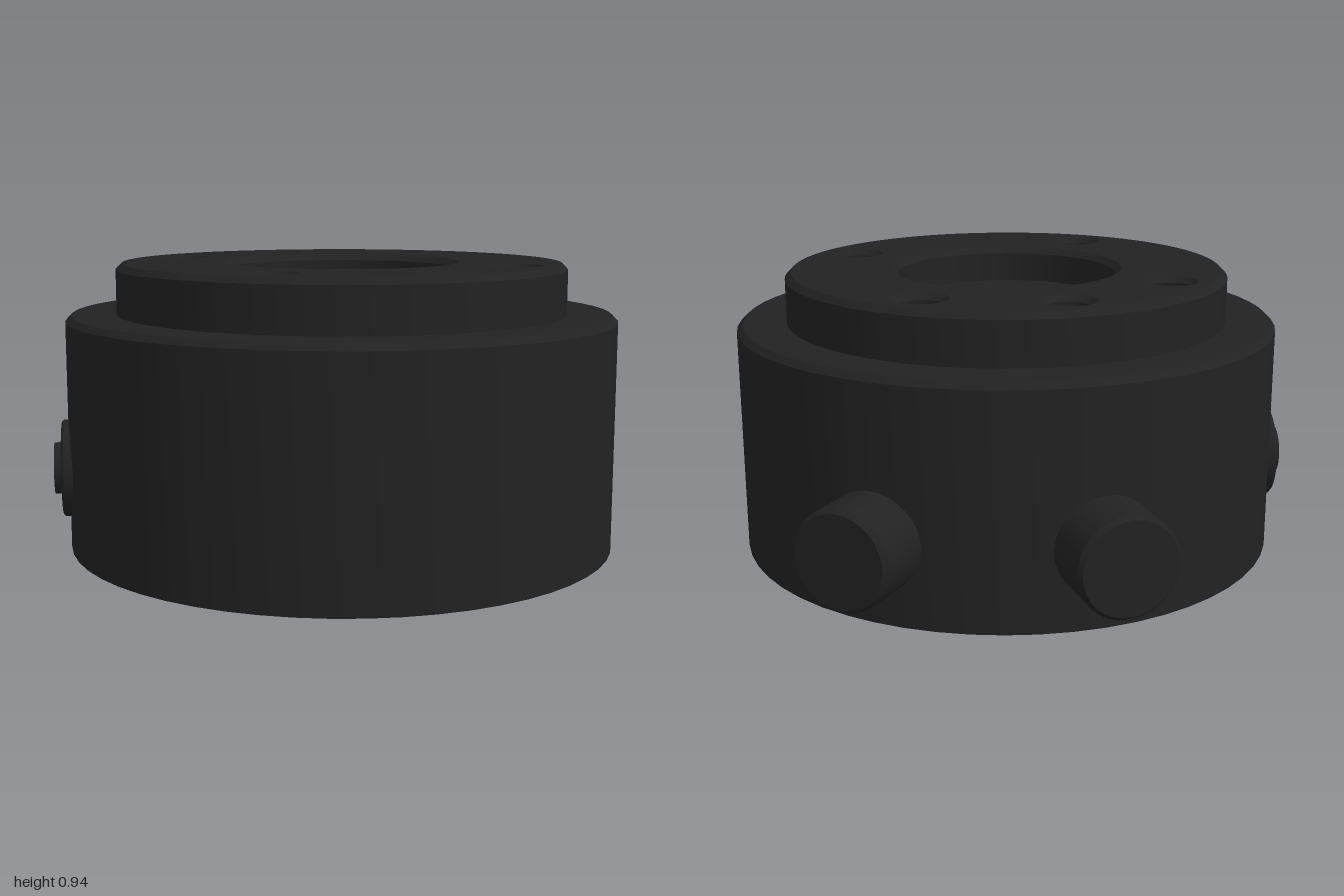
import * as THREE from 'three';
import { toCreasedNormals } from 'three/addons/utils/BufferGeometryUtils.js';

const CX = 0.015, CZ = 0.09; // axis of the round housing
const material = new THREE.MeshStandardMaterial({ color: 0x222222 });

function mesh(name, geometry) {
  const m = new THREE.Mesh(toCreasedNormals(geometry, 0.4), material);
  m.name = name;
  return m;
}

function lathe(name, points, segments) {
  return mesh(name, new THREE.LatheGeometry(points.map(p => new THREE.Vector2(...p)), segments));
}

// Horizontal turned part pointing outward; angle 0 = +x, 90 = back
function radial(name, points, degrees) {
  const m = lathe(name, points, 32);
  const a = THREE.MathUtils.degToRad(degrees);
  m.quaternion.setFromUnitVectors(
    new THREE.Vector3(0, 1, 0), new THREE.Vector3(Math.cos(a), 0, -Math.sin(a)));
  m.position.y = 0.26;
  return m;
}

function floorDisc(name, radius, x, y, z) {
  const g = new THREE.CircleGeometry(radius, 32);
  g.rotateX(-Math.PI / 2);
  const m = mesh(name, g);
  m.position.set(x, y, z);
  return m;
}

export function createModel() {
  const model = new THREE.Group();
  const unit = new THREE.Group();
  unit.name = 'housing';
  unit.position.set(CX, 0, CZ);
  model.add(unit);

  // Main drum, with a shallow pocket underneath and a chamfered top edge
  unit.add(lathe('drum', [
    [0, 0.15], [0.84, 0.15], [0.84, 0], [0.91, 0], [0.91, 0.75], [0.89, 0.77], [0, 0.77],
  ], 56));

  // Raised flange with a central recess and five bolt holes, edges chamfered
  const bevel = 0.02, top = 0.935, base = 0.7;
  const shape = new THREE.Shape().absarc(0, 0, 0.745 - bevel, 0, Math.PI * 2, false);
  const addHole = (x, y, r) =>
    shape.holes.push(new THREE.Path().absarc(x, y, r, 0, Math.PI * 2, true));
  addHole(0, 0, 0.39);
  for (const deg of [-135, -45, 45, 90, 135]) {
    const a = THREE.MathUtils.degToRad(deg);
    const x = 0.592 * Math.cos(a), y = 0.592 * Math.sin(a);
    addHole(x, y, 0.088);
    unit.add(floorDisc('boltHoleFloor', 0.085, x, 0.885, -y));
  }
  const flange = new THREE.ExtrudeGeometry(shape, {
    depth: top - base - 2 * bevel, curveSegments: 56,
    bevelEnabled: true, bevelSize: bevel, bevelThickness: bevel, bevelSegments: 1,
  });
  flange.rotateX(-Math.PI / 2);
  flange.translate(0, base + bevel, 0);
  unit.add(mesh('topFlange', flange));
  unit.add(floorDisc('recessFloor', 0.385, 0, 0.815, 0));

  // Connector stubs; the diagonal one runs in to the middle of the pocket
  const stub = start => [[0, start], [0.16, start], [0.16, 1.075], [0.148, 1.09], [0, 1.09]];
  unit.add(radial('backConnector', stub(0.85), 90));
  unit.add(radial('diagonalConnector', stub(0), 45));

  // Low side port with a button in its middle
  unit.add(radial('sidePort', [
    [0, 0], [0.16, 0], [0.16, 0.925], [0.153, 0.932], [0.085, 0.932], [0.085, 0.958], [0, 0.958],
  ], 165));

  return model;
}
